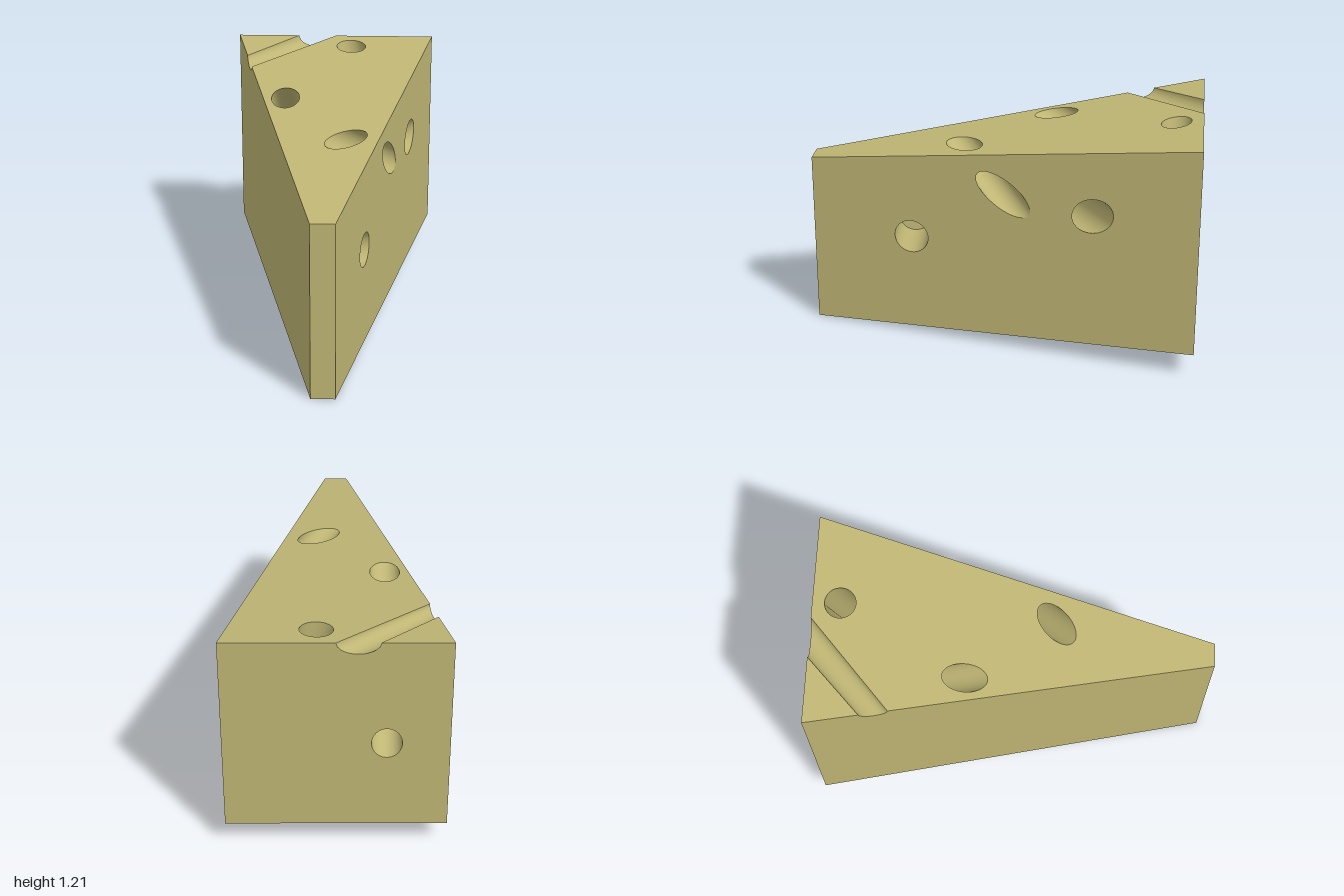
import * as THREE from 'three';

const V = (x, y, z) => new THREE.Vector3(x, y, z);
const SIDES = 40;

export function createModel() {
  const group = new THREE.Group();
  group.name = 'cheeseWedge';
  const material = new THREE.MeshStandardMaterial({ color: 0xbfb574, side: THREE.DoubleSide });
  const add = (name, geometry) => {
    const mesh = new THREE.Mesh(geometry, material);
    mesh.name = name;
    group.add(mesh);
  };

  // Points on the wedge: half width, top and underside all change along z
  const half = z => 0.30 - 0.24 * z;
  const top = (x, z) => V(x, 1.06 - 0.15 * z, z);
  const low = (x, z) => V(x, 0.065 - 0.065 * z, z);
  const [tfl, tfr] = [top(half(1), 1), top(-half(1), 1)];
  const [tbl, tbr] = [top(half(-1), -1), top(-half(-1), -1)];
  const [bfl, bfr] = [low(half(1), 1), low(-half(1), 1)];
  const [bbl, bbr] = [low(half(-1), -1), low(-half(-1), -1)];

  // Rounded notch between two points on a top edge
  const notch = (a, b, depth) => Array.from({ length: 17 }, (_, i) => {
    const s = Math.PI * i / 16;
    const p = a.clone().lerp(b, (1 - Math.cos(s)) / 2);
    p.y -= depth * Math.sin(s);
    return p;
  });
  const sideNotch = notch(top(-half(-0.737), -0.737), top(-half(-0.6), -0.6), 0.042);
  const backNotch = notch(top(-0.205, -1), top(0, -1), 0.063);

  // Each flat face: the first three points are true corners
  const faces = {
    topFace: [tfl, tfr, sideNotch[16], backNotch[16], tbl],
    topCorner: [tbr, sideNotch[0], backNotch[0]],
    leftSide: [bfl, bbl, tbl, tfl],
    rightSide: [bfr, bbr, tbr, ...sideNotch, tfr],
    backFace: [bbr, bbl, tbl, ...backNotch.slice().reverse(), tbr],
    frontFace: [bfr, bfl, tfl, tfr],
    underside: [bfr, bfl, bbl, bbr],
  };
  const planes = {}, holes = {};
  for (const [name, pts] of Object.entries(faces)) {
    const plane = new THREE.Plane().setFromCoplanarPoints(pts[0], pts[1], pts[2]);
    if (plane.distanceToPoint(V(0, 0.6, 0)) > 0) plane.negate(); // outward
    planes[name] = plane;
    holes[name] = [];
  }

  // Smooth skin between two rows of points
  function loft(name, a, b, closed) {
    const n = a.length, index = [];
    for (let i = 0; i < (closed ? n : n - 1); i++) {
      const j = (i + 1) % n;
      index.push(i, n + i, j, j, n + i, n + j);
    }
    const geometry = new THREE.BufferGeometry().setFromPoints([...a, ...b]);
    geometry.setIndex(index);
    geometry.computeVertexNormals();
    add(name, geometry);
  }

  // Round tunnel bored straight from one face to another
  function bore(name, a, faceA, b, faceB, r) {
    const d = b.clone().sub(a).normalize();
    const u = V(0, 1, 0).cross(d).normalize();
    const v = d.clone().cross(u);
    const ring = face => Array.from({ length: SIDES }, (_, i) => {
      const s = 2 * Math.PI * i / SIDES;
      const p = a.clone().addScaledVector(u, r * Math.cos(s)).addScaledVector(v, r * Math.sin(s));
      const plane = planes[face];
      return p.addScaledVector(d, -plane.distanceToPoint(p) / plane.normal.dot(d));
    });
    const ra = ring(faceA), rb = ring(faceB);
    holes[faceA].push(ra);
    holes[faceB].push(rb);
    loft(name, ra, rb, true);
  }
  bore('frontTunnel', V(0.19, 0.547, 0.465), 'leftSide', V(-0.18, 0.508, 0.5), 'rightSide', 0.087);
  bore('middleTunnel', V(0.41, 0.80, -0.475), 'leftSide', V(-0.346, 0.633, -0.19), 'rightSide', 0.088);
  bore('shoulderTunnel', V(0.087, 1.03, 0.2), 'topFace', V(0.305, 0.85, -0.021), 'leftSide', 0.074);
  bore('backTunnel', V(-0.24, 1.096, -0.24), 'topFace', V(-0.24, 0.63, -1), 'backFace', 0.073);
  bore('uprightTunnel', V(0.09, 1.19, -0.865), 'topFace', V(0.415, 0.122, -0.87), 'underside', 0.076);

  // Groove across the back right corner
  loft('cornerGroove', backNotch, sideNotch, false);

  // Flat faces with their hole openings
  for (const [name, pts] of Object.entries(faces)) {
    const n = planes[name].normal;
    const u = pts[1].clone().sub(pts[0]).normalize();
    const frame = new THREE.Matrix4().makeBasis(u, n.clone().cross(u), n).setPosition(pts[0]);
    const inverse = frame.clone().invert();
    const flat = loop => loop.map(p => {
      const q = p.clone().applyMatrix4(inverse);
      return new THREE.Vector2(q.x, q.y);
    });
    const shape = new THREE.Shape(flat(pts));
    shape.holes = holes[name].map(loop => new THREE.Path(flat(loop)));
    add(name, new THREE.ShapeGeometry(shape).applyMatrix4(frame));
  }
  return group;
}
